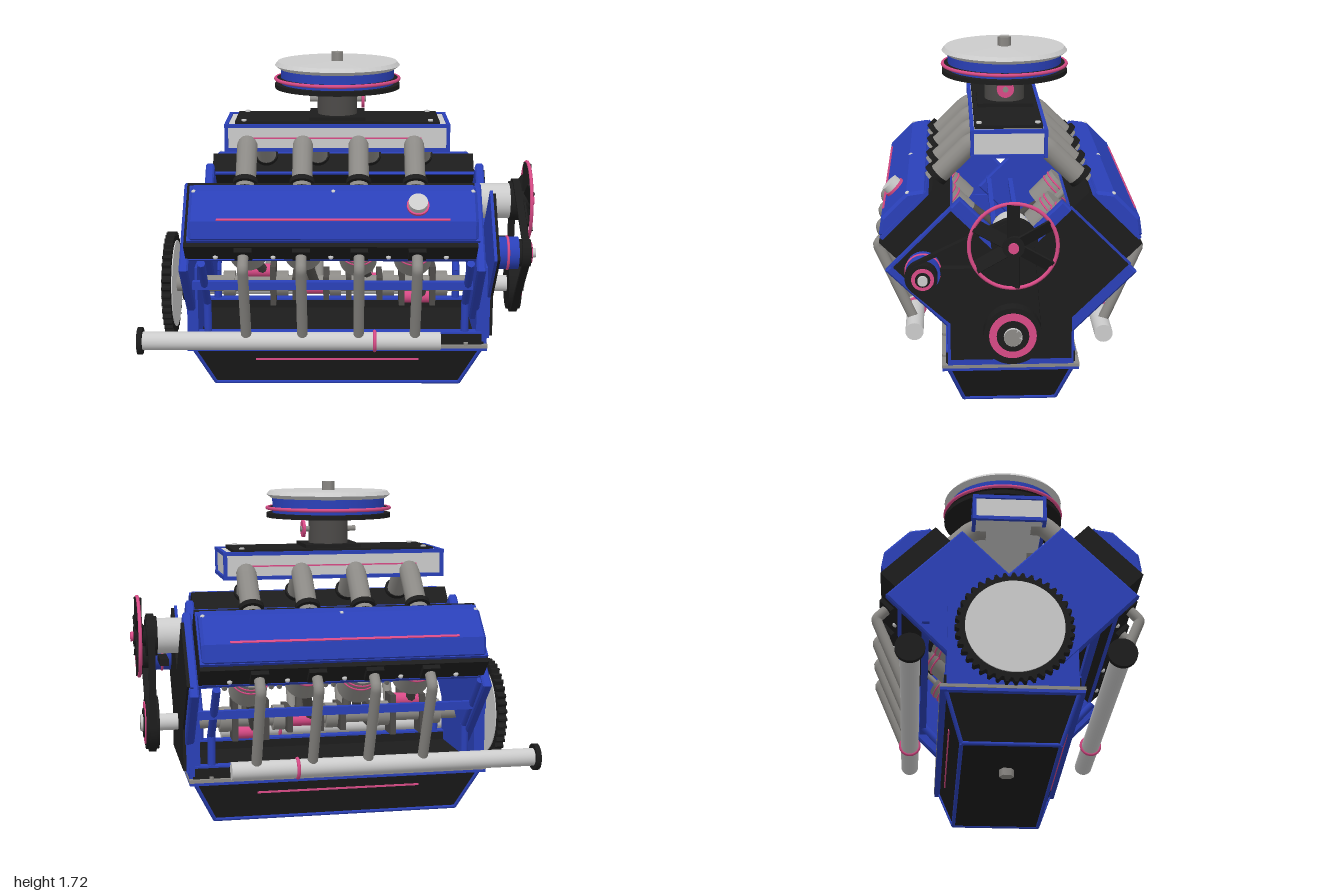
import * as THREE from 'three';

const mat = (c) => new THREE.MeshStandardMaterial({ color: c, side: THREE.DoubleSide });
const GREY = mat(0xcccccc), BLACK = mat(0x1c1c1c), BLUE = mat(0x2a40b8), PINK = mat(0xd84a86);
const STEEL = mat(0x8c8a86), DARK = mat(0x4c4a48);
const V = (x, y, z) => new THREE.Vector3(x, y, z);
const CX = -0.015, CRANK_Y = 0.5, SQ = Math.SQRT2;

function add(parent, name, geo, material, x = 0, y = 0, z = 0) {
  const m = new THREE.Mesh(geo, material);
  m.name = name;
  m.position.set(x, y, z);
  parent.add(m);
  return m;
}
const box = (p, n, m, w, h, d, x, y, z) => add(p, n, new THREE.BoxGeometry(w, h, d), m, x, y, z);
// Cylinder lying along x from x0 to x1
const cylX = (p, n, m, r, x0, x1, y, z = 0, seg = 32) =>
  add(p, n, new THREE.CylinderGeometry(r, r, x1 - x0, seg).rotateZ(-Math.PI / 2), m, (x0 + x1) / 2, y, z);
// Upright cylinder from y0 to y1
const cylY = (p, n, m, r, y0, y1, x, z = 0, seg = 32) =>
  add(p, n, new THREE.CylinderGeometry(r, r, y1 - y0, seg), m, x, (y0 + y1) / 2, z);
// Ring around the x or y axis
const ringX = (p, n, m, R, r, x, y, z = 0) => add(p, n, new THREE.TorusGeometry(R, r, 8, 48).rotateY(Math.PI / 2), m, x, y, z);
const ringY = (p, n, m, R, r, x, y, z = 0) => add(p, n, new THREE.TorusGeometry(R, r, 8, 48).rotateX(Math.PI / 2), m, x, y, z);
// Straight bar between two points
function rod(p, n, m, a, b, r, seg = 8) {
  const d = b.clone().sub(a);
  const o = add(p, n, new THREE.CylinderGeometry(r, r, d.length(), seg), m);
  o.position.copy(a).add(b).multiplyScalar(0.5);
  o.quaternion.setFromUnitVectors(V(0, 1, 0), d.normalize());
}
// Pipe through points with rounded corners
function pipe(p, n, m, pts, r, round) {
  const path = new THREE.CurvePath();
  let last = pts[0];
  for (let i = 1; i < pts.length - 1; i++) {
    const a = pts[i].clone().add(pts[i - 1].clone().sub(pts[i]).setLength(round));
    const b = pts[i].clone().add(pts[i + 1].clone().sub(pts[i]).setLength(round));
    path.add(new THREE.LineCurve3(last, a));
    path.add(new THREE.QuadraticBezierCurve3(a, pts[i], b));
    last = b;
  }
  path.add(new THREE.LineCurve3(last, pts[pts.length - 1]));
  add(p, n, new THREE.TubeGeometry(path, 48, r, 14), m);
}
// Extrude a (z, y) outline along x, starting at x0
function extrudeX(p, n, m, pts, x0, len, hole, bevel = 0) {
  const flip = (a) => a.map(([z, y]) => new THREE.Vector2(-z, y));
  const s = new THREE.Shape(flip(pts));
  if (hole) s.holes.push(new THREE.Path(flip(hole)));
  const g = new THREE.ExtrudeGeometry(s, {
    depth: len - 2 * bevel, bevelEnabled: bevel > 0, bevelSize: bevel, bevelThickness: bevel, bevelOffset: -bevel, bevelSegments: 1 });
  return add(p, n, g.rotateY(Math.PI / 2), m, x0 + bevel);
}
// V-block outline: bank half width w, bank height u, foot half width b
function yOutline(w, u, b, y0) {
  const half = [[b, y0], [b, CRANK_Y + b - SQ * w], [(u + w) / SQ, CRANK_Y + (u - w) / SQ], [(u - w) / SQ, CRANK_Y + (u + w) / SQ]];
  return [...half, [0, CRANK_Y + SQ * w], ...half.map(([z, y]) => [-z, y]).reverse()];
}

function oilPan(root) {
  const g = new THREE.Group(); g.name = 'oilPan'; root.add(g);
  const geo = new THREE.BoxGeometry(1.46, 0.21, 0.6), p = geo.attributes.position;
  for (let i = 0; i < p.count; i++) if (p.getY(i) < 0) p.setXYZ(i, p.getX(i) * 0.858, p.getY(i), p.getZ(i) * 0.75);
  geo.computeVertexNormals();
  add(g, 'panBody', geo, BLACK, CX, 0.14, 0);
  box(g, 'panFlange', STEEL, 1.52, 0.016, 0.66, CX, 0.262, 0);
  box(g, 'panFlangeTrim', BLUE, 1.515, 0.015, 0.655, CX, 0.247, 0);
  box(g, 'panGasket', BLACK, 1.48, 0.012, 0.61, CX, 0.275, 0);
  const c = (sx, sz, k) => V(CX + sx * (k ? 0.73 : 0.626), k ? 0.245 : 0.037, sz * (k ? 0.3 : 0.225));
  for (const s of [-1, 1]) {
    rod(g, 'panEdge', BLUE, c(-1, s, 0), c(1, s, 0), 0.01);
    rod(g, 'panEdge', BLUE, c(s, -1, 0), c(s, 1, 0), 0.01);
    for (const t of [-1, 1]) rod(g, 'panEdge', BLUE, c(s, t, 0), c(s, t, 1), 0.01);
    box(g, 'panStripe', PINK, 0.83, 0.01, 0.02, CX, 0.18, s * 0.272);
    box(g, 'panRail', BLACK, 1.46, 0.055, 0.05, CX, 0.297, s * 0.285);
    box(g, 'panRailTrim', BLUE, 1.46, 0.01, 0.052, CX, 0.329, s * 0.285);
    for (let i = 0; i < 6; i++) cylY(g, 'panBolt', STEEL, 0.012, 0.265, 0.282, CX - 0.65 + i * 0.26, s * 0.318, 6);
  }
  cylY(g, 'drainPlug', STEEL, 0.036, 0, 0.035, -0.3, 0, 6);
}

function block(root) {
  const g = new THREE.Group(); g.name = 'block'; root.add(g);
  box(g, 'rearCrankcasePlate', BLUE, 0.055, 0.4, 0.6, -0.745, 0.47, 0);
  box(g, 'frontCrankcasePlate', BLUE, 0.055, 0.4, 0.6, 0.715, 0.47, 0);
  extrudeX(g, 'frontCoverTrim', BLUE, yOutline(0.2, 0.595, 0.297, 0.3), 0.74, 0.015);
  extrudeX(g, 'frontCover', BLACK, yOutline(0.19, 0.585, 0.287, 0.31), 0.75, 0.02);
  for (const s of [-1, 1]) {
    box(g, 'sideRail', BLUE, 1.45, 0.04, 0.035, CX, 0.61, s * 0.4);
    box(g, 'valleyRail', BLUE, 1.45, 0.025, 0.025, CX, 0.77, s * 0.06);
    for (const x of [-0.67, 0.63]) {
      rod(g, 'sidePost', BLUE, V(x, 0.3, s * 0.285), V(x, 0.49, s * 0.285), 0.02);
      rod(g, 'sidePost', BLUE, V(x, 0.48, s * 0.28), V(x, 0.76, s * 0.54), 0.02);
    }
  }
}

function crankTrain(root, bankX) {
  const g = new THREE.Group(); g.name = 'crankshaft'; root.add(g);
  cylX(g, 'mainShaft', STEEL, 0.042, -0.88, 0.96, CRANK_Y);
  cylX(g, 'rearHub', BLACK, 0.09, -0.82, -0.77, CRANK_Y);
  for (let i = 0; i < 5; i++) cylX(g, 'mainBearing', STEEL, 0.065, -0.61 + i * 0.277, -0.55 + i * 0.277, CRANK_Y);
  const throwAngle = [0, Math.PI / 2, -Math.PI / 2, Math.PI];
  throwAngle.forEach((a, i) => {
    const x = CX + (i - 1.5) * 0.277, py = CRANK_Y + 0.07 * Math.cos(a), pz = 0.07 * Math.sin(a);
    cylX(g, 'crankPin', PINK, 0.035, x - 0.075, x + 0.075, py, pz, 20);
    for (const t of [-1, 1]) box(g, 'counterweight', DARK, 0.03, 0.21, 0.12, x + t * 0.08, CRANK_Y, 0).rotation.x = a;
    for (const s of [-1, 1]) {
      const bx = bankX(s, i), h = 0.31 + 0.04 * Math.cos(a - s * Math.PI / 4);
      rod(g, 'connectingRod', DARK, V(x + s * 0.03, py, pz), V(bx, CRANK_Y + h / SQ, s * h / SQ), 0.025);
      const piston = new THREE.Group(); piston.name = 'piston';
      piston.position.set(bx, CRANK_Y, 0); piston.rotation.x = s * Math.PI / 4; g.add(piston);
      cylY(piston, 'pistonBody', STEEL, 0.095, h - 0.03, h + 0.14, 0);
      for (const k of [0.085, 0.115]) ringY(piston, 'pistonRing', PINK, 0.095, 0.005, 0, h + k);
      for (const t of [-1, 1]) rod(piston, 'headStud', STEEL, V(t * 0.118, 0.28, 0), V(t * 0.118, 0.58, 0), 0.014);
    }
  });
  // Toothed flywheel
  const teeth = [];
  for (let i = 0; i < 160; i++) {
    const a = i / 160 * Math.PI * 2, r = i % 4 < 2 ? 0.27 : 0.25;
    teeth.push([r * Math.cos(a), CRANK_Y + r * Math.sin(a)]);
  }
  extrudeX(g, 'flywheelGear', BLACK, teeth, -0.905, 0.045);
  cylX(g, 'flywheelFace', GREY, 0.225, -0.912, -0.855, CRANK_Y, 0, 48);
}

function bank(root, s, bankX) {
  const g = new THREE.Group(); g.name = s > 0 ? 'leftBank' : 'rightBank';
  const cx = CX - s * 0.03, coverX = CX + 0.006 - s * 0.024;
  g.position.y = CRANK_Y; g.rotation.x = s * Math.PI / 4; root.add(g);
  // End plates are staggered with the bank
  const plate = [[0.25, 0.08], [0.25, 0.585], [-0.25, 0.585], [-0.25, 0.08]];
  extrudeX(g, 'rearBankPlate', BLUE, plate, cx - 0.73, 0.045, null, 0.008);
  extrudeX(g, 'frontBankPlate', BLUE, plate, cx + 0.7, 0.045, null, 0.008);
  box(g, 'cylinderHead', BLACK, 1.4, 0.125, 0.36, cx, 0.6325, 0);
  for (const t of [-1, 1]) box(g, 'headTrim', BLUE, 1.405, 0.014, 0.014, cx, 0.571, t * 0.176);
  const half = [[0.152, 0.685], [0.152, 0.722], [0.085, 0.772]];
  extrudeX(g, 'valveCover', BLUE, [...half, ...half.map(([z, y]) => [-z, y]).reverse()], coverX - 0.69, 1.38, null, 0.014);
  box(g, 'coverLip', BLUE, 1.395, 0.018, 0.312, coverX, 0.703, 0);
  box(g, 'coverStripe', PINK, 1.11, 0.012, 0.012, coverX, 0.77, s * 0.075);
  for (const x of [-0.67, 0, 0.67])
    add(g, 'coverBolt', new THREE.SphereGeometry(0.012, 10, 8), GREY, coverX + x, 0.764, s * -0.085);
  for (let i = 0; i < 5; i++)
    add(g, 'headBolt', new THREE.SphereGeometry(0.013, 10, 8), GREY, cx - 0.554 + i * 0.277, 0.6, s * 0.18);
  if (s > 0) {
    cylY(g, 'oilCapBase', PINK, 0.054, 0.765, 0.785, 0.37);
    cylY(g, 'oilCap', GREY, 0.046, 0.783, 0.815, 0.37);
  }
  // Exhaust primaries and intake runners, one pair per cylinder
  for (let i = 0; i < 4; i++) {
    const x = bankX(s, i);
    box(g, 'exhaustFlange', BLACK, 0.085, 0.08, 0.025, x, 0.645, s * 0.19);
    pipe(root, 'exhaustPrimary', STEEL, [V(x, 0.835, s * 0.57), V(x, 0.76, s * 0.642), V(x, 0.35, s * 0.465)], 0.026, 0.015);
    add(g, 'intakeFlange', new THREE.CylinderGeometry(0.062, 0.062, 0.025, 24).rotateX(Math.PI / 2), BLACK, x, 0.68, s * -0.19);
    pipe(root, 'intakeRunner', STEEL,
      [V(x, 1.275, s * 0.11), V(x, 1.275, s * 0.172), V(x, 1.085, s * 0.365)], 0.051, 0.04);
  }
  // Collector
  const z = s * 0.465, y = 0.342;
  cylX(root, 'exhaustCollector', GREY, 0.045, -0.99, cx + 0.54, y, z);
  cylX(root, 'collectorFlange', BLACK, 0.067, -1, -0.975, y, z);
  ringX(root, 'collectorBand', PINK, 0.047, 0.009, cx + 0.215, y, z);
}

function intake(root) {
  const g = new THREE.Group(); g.name = 'intake'; root.add(g);
  box(g, 'plenum', GREY, 1.1, 0.125, 0.35, CX, 1.307, 0);
  for (const s of [-1, 1]) for (const t of [-1, 1]) {
    box(g, 'plenumEdge', BLUE, 1.125, 0.018, 0.018, CX, 1.307 + s * 0.06, t * 0.174);
    box(g, 'plenumEdge', BLUE, 0.018, 0.018, 0.36, CX + s * 0.552, 1.307 + t * 0.06, 0);
    box(g, 'plenumEdge', BLUE, 0.018, 0.125, 0.018, CX + s * 0.552, 1.307, t * 0.174);
    cylY(g, 'plenumBolt', GREY, 0.014, 1.38, 1.394, CX + s * 0.465, t * 0.14, 6);
  }
  box(g, 'plenumLid', BLACK, 1.02, 0.02, 0.325, CX, 1.376, 0);
  for (const s of [-1, 1]) box(g, 'plenumStripe', PINK, 0.84, 0.007, 0.01, CX, 1.305, s * 0.173);
  // Carburettor
  box(g, 'carburettorBase', BLACK, 0.28, 0.018, 0.28, CX, 1.395, 0);
  cylY(g, 'carburettor', DARK, 0.1, 1.4, 1.54, CX);
  cylX(g, 'throttleShaft', STEEL, 0.014, -0.155, 0.13, 1.475);
  cylX(g, 'throttleDisc', PINK, 0.043, 0.108, 0.122, 1.475);
  // Air cleaner
  cylY(g, 'filterBase', BLACK, 0.315, 1.535, 1.558, CX, 0, 48);
  cylY(g, 'filterElement', BLUE, 0.285, 1.555, 1.645, CX, 0, 48);
  ringY(g, 'filterBand', PINK, 0.311, 0.009, CX, 1.582);
  cylY(g, 'filterBandWeb', BLACK, 0.305, 1.576, 1.588, CX, 0, 48);
  const lid = [[0, 1.632], [0.29, 1.632], [0.315, 1.65], [0.3, 1.669], [0, 1.671]].map(([x, y]) => new THREE.Vector2(x, y));
  add(g, 'filterLid', new THREE.LatheGeometry(lid, 48).toNonIndexed(), GREY, CX).geometry.computeVertexNormals();
  cylY(g, 'wingNut', STEEL, 0.034, 1.669, 1.715, CX, 0, 6);
}

function accessories(root) {
  const g = new THREE.Group(); g.name = 'frontDrive'; root.add(g);
  const fy = 0.945, ay = 0.78, az = 0.41;
  // Water pump and fan
  cylX(g, 'waterPump', GREY, 0.09, 0.72, 0.87, fy);
  cylX(g, 'fanPulley', BLACK, 0.1, 0.87, 0.925, fy);
  cylX(g, 'fanHub', BLACK, 0.05, 0.92, 0.985, fy);
  cylX(g, 'fanCap', PINK, 0.024, 0.98, 1, fy);
  ringX(g, 'fanRing', PINK, 0.2, 0.009, 0.962, fy);
  for (let i = 0; i < 6; i++) {
    const arm = new THREE.Group(); arm.name = 'fanBlade';
    arm.position.set(0.96, fy, 0); arm.rotation.x = i * Math.PI / 3; g.add(arm);
    box(arm, 'blade', BLACK, 0.01, 0.16, 0.06, 0, 0.118, 0).rotation.y = 0.45;
  }
  // Crank pulley
  cylX(g, 'crankPulley', BLACK, 0.135, 0.87, 0.935, CRANK_Y);
  cylX(g, 'crankPulleyRing', PINK, 0.11, 0.93, 0.94, CRANK_Y);
  cylX(g, 'crankPulleyCentre', BLACK, 0.075, 0.935, 0.946, CRANK_Y);
  cylX(g, 'crankNose', GREY, 0.043, 0.77, 0.96, CRANK_Y);
  // Alternator
  cylX(g, 'alternator', BLUE, 0.08, 0.765, 0.87, ay, az);
  ringX(g, 'alternatorBand', PINK, 0.079, 0.007, 0.817, ay, az);
  box(g, 'alternatorBracket', BLACK, 0.045, 0.035, 0.22, 0.82, ay, 0.26);
  cylX(g, 'alternatorPulley', BLACK, 0.068, 0.87, 0.93, ay, az);
  cylX(g, 'alternatorRing', PINK, 0.052, 0.928, 0.937, ay, az);
  cylX(g, 'alternatorCentre', BLACK, 0.035, 0.93, 0.941, ay, az);
  cylX(g, 'alternatorShaft', GREY, 0.023, 0.93, 0.957, ay, az);
  // Belt wrapped tightly round the three pulleys
  const wheels = [[0, CRANK_Y, 0.135], [0, fy, 0.1], [az, ay, 0.068]];
  const loop = (grow) => Array.from({ length: 96 }, (_, i) => {
    const a = i / 96 * Math.PI * 2, c = Math.cos(a), s = Math.sin(a);
    const reach = (w) => w[0] * c + w[1] * s + w[2];
    const w = wheels.reduce((p, q) => (reach(q) > reach(p) ? q : p));
    return [w[0] + (w[2] + grow) * c, w[1] + (w[2] + grow) * s];
  });
  extrudeX(g, 'belt', BLACK, loop(0.014), 0.885, 0.035, loop(-0.002));
}

export function createModel() {
  const root = new THREE.Group();
  root.name = 'engine';
  const bankX = (s, i) => CX - s * 0.033 + (i - 1.5) * 0.277;
  oilPan(root);
  block(root);
  crankTrain(root, bankX);
  for (const s of [1, -1]) bank(root, s, bankX);
  intake(root);
  accessories(root);
  return root;
}
